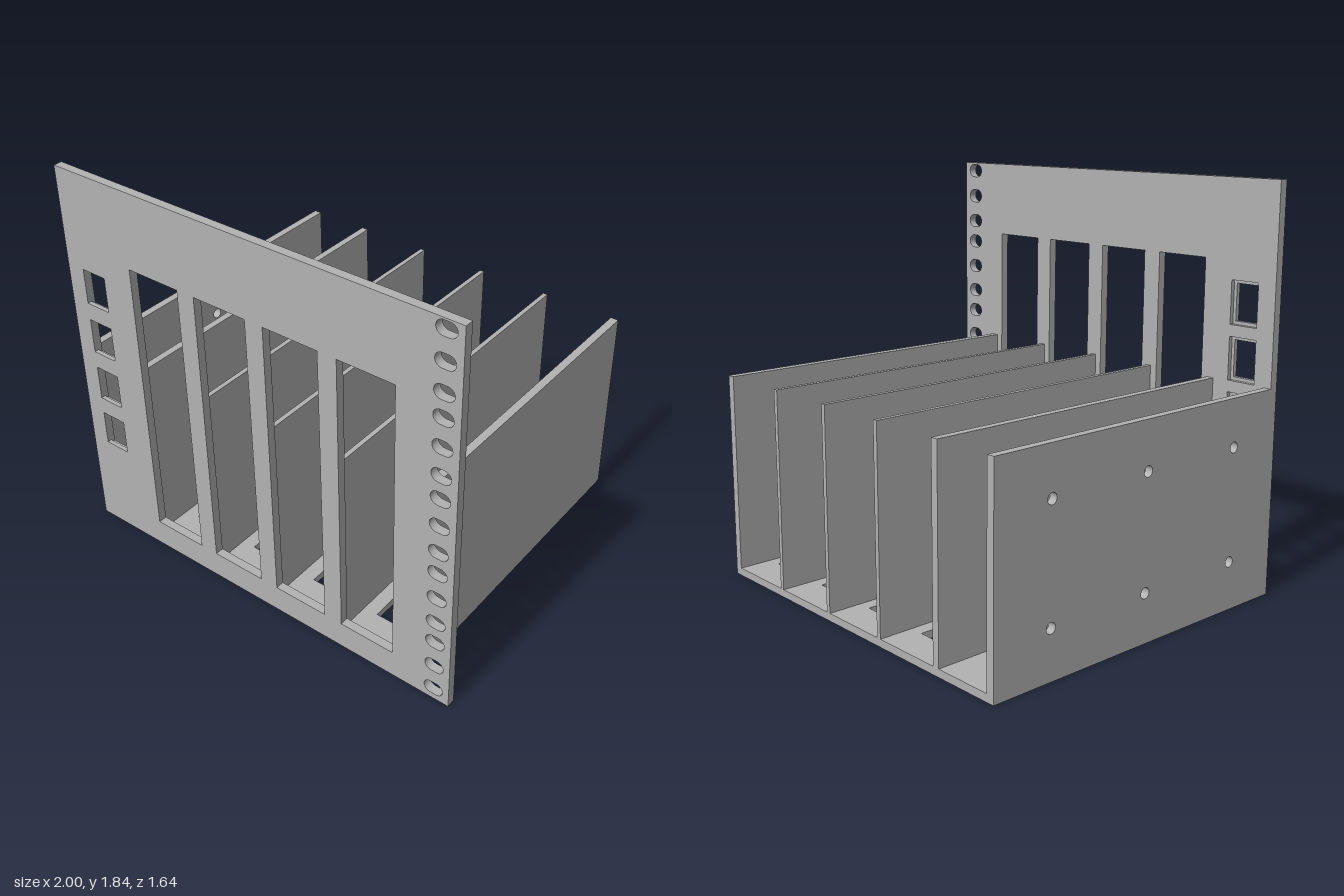
import * as THREE from 'three';

const rectPath = (x0, y0, x1, y1, P = THREE.Path) => {
  const p = new P();
  p.moveTo(x0, y0); p.lineTo(x1, y0); p.lineTo(x1, y1); p.lineTo(x0, y1); p.closePath();
  return p;
};

// Rounded-end slot lying along x
const pillPath = (cx, cy, w, h) => {
  const p = new THREE.Path(), r = h / 2, d = w / 2 - r;
  p.moveTo(cx - d, cy - r);
  p.lineTo(cx + d, cy - r);
  p.absarc(cx + d, cy, r, -Math.PI / 2, Math.PI / 2, false);
  p.absarc(cx - d, cy, r, Math.PI / 2, Math.PI * 1.5, false);
  return p;
};

const circlePath = (cx, cy, r) => new THREE.Path().absarc(cx, cy, r, 0, Math.PI * 2, false);

const plate = (outline, holes, depth) => {
  outline.holes.push(...holes);
  return new THREE.ExtrudeGeometry(outline, { depth, bevelEnabled: false, curveSegments: 12 });
};

export function createModel() {
  const group = new THREE.Group();
  const grey = new THREE.MeshStandardMaterial({ color: 0xb2b2b2 });
  grey.name = 'grey';
  const add = (name, geometry, x = 0, y = 0, z = 0) => {
    const mesh = new THREE.Mesh(geometry, grey);
    mesh.name = name;
    mesh.position.set(x, y, z);
    group.add(mesh);
    return mesh;
  };

  const back = -0.82, panelZ = 0.78, H = 0.945, floorT = 0.035;

  // Front panel in two layers, so the small ports are wider at the rear
  const panelHoles = (grow) => {
    const holes = [];
    for (let i = 0; i < 4; i++) {
      const x = -0.62 + i * 0.357, y = 0.463 + i * 0.25;
      holes.push(rectPath(x, 0.13, x + 0.267, 1.48));
      holes.push(rectPath(-0.91, y - grow, -0.783 + grow, y + 0.167 + grow));
    }
    for (let u = 0; u < 5; u++)
      for (const dy of [0.059, 0.189, 0.32])
        holes.push(pillPath(0.925, dy + u * 0.369, 0.09, 0.064));
    return holes;
  };
  const outline = () => rectPath(-1, 0, 1, 1.837, THREE.Shape);
  add('frontPanel', plate(outline(), panelHoles(0), 0.02), 0, 0, panelZ + 0.02);
  add('frontPanelRear', plate(outline(), panelHoles(0.015), 0.02), 0, 0, panelZ);

  // Floor with vent slots, drawn in (x, -z) and laid flat
  const vents = [];
  for (let i = 0; i < 4; i++) {
    const x = -0.585 + i * 0.356;
    vents.push(rectPath(x, -0.61, x + 0.203, 0.66));
  }
  const floor = add('floor', plate(rectPath(-1, -panelZ, 0.79, -back, THREE.Shape), vents, floorT));
  floor.rotation.x = -Math.PI / 2;

  // Outer wall with six screw holes, drawn in (-z, y)
  const screws = [];
  for (const z of [-0.53, 0, 0.54])
    for (const y of [0.22, 0.73]) screws.push(circlePath(-z, y, 0.024));
  const wall = add('rightWall',
    plate(rectPath(-panelZ, floorT, -back, H, THREE.Shape), screws, 0.037), -1);
  wall.rotation.y = Math.PI / 2;

  // Dividers and the plain outer wall
  const walls = [[-0.687, -0.653], [-0.318, -0.296], [0.036, 0.058], [0.393, 0.415], [0.752, 0.79]];
  walls.forEach(([x0, x1], i) => {
    add(i < 4 ? 'divider' + (i + 1) : 'leftWall',
      new THREE.BoxGeometry(x1 - x0, H - floorT, panelZ - back),
      (x0 + x1) / 2, (H + floorT) / 2, (panelZ + back) / 2);
  });

  return group;
}
